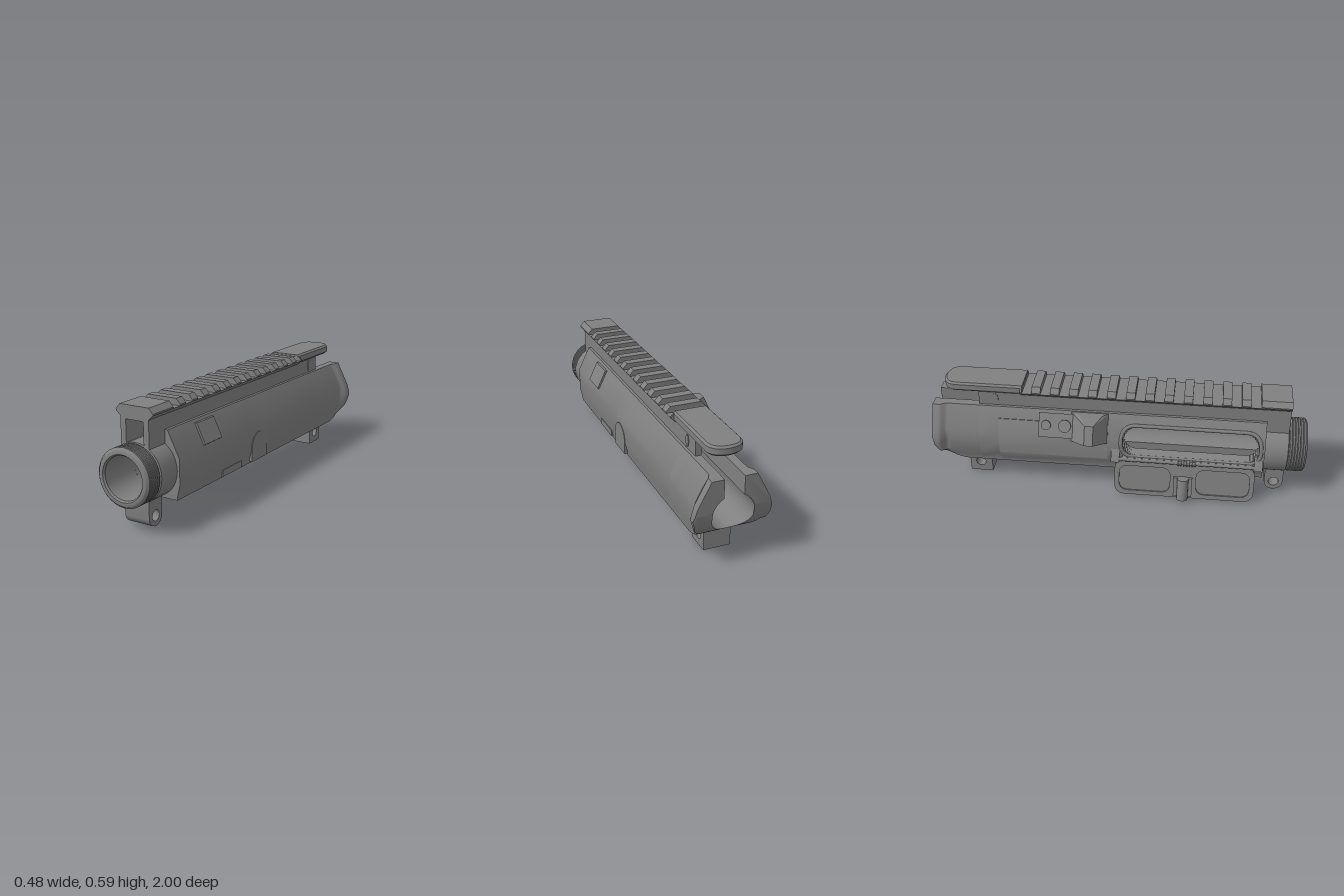
import * as THREE from 'three';
import { toCreasedNormals } from 'three/addons/utils/BufferGeometryUtils.js';
import { ConvexGeometry } from 'three/addons/geometries/ConvexGeometry.js';

const CX = 0.04, CY = 0.27, BORE = 0.107;
const mat = new THREE.MeshStandardMaterial({ color: 0x808080, side: THREE.DoubleSide });

function add(parent, name, geo, crease = 0.6) {
  const mesh = new THREE.Mesh(toCreasedNormals(geo, crease), mat);
  mesh.name = name;
  parent.add(mesh);
  return mesh;
}
const shapeOf = pts => new THREE.Shape(pts.map(p => new THREE.Vector2(p[0], p[1])));
const mirrored = pts => [...pts, ...pts.slice().reverse().map(([u, y]) => [-u, y])];

// Extrude an x-y profile (x measured from the bore axis) between two z positions
function alongZ(pts, z0, z1, steps = 1) {
  const g = new THREE.ExtrudeGeometry(shapeOf(pts), { depth: z1 - z0, steps, bevelEnabled: false });
  return g.translate(CX, 0, z0);
}
// Extrude a z-y shape from x0 to x1
function alongX(shape, x0, x1) {
  const g = new THREE.ExtrudeGeometry(shape, { depth: x1 - x0, bevelEnabled: false, curveSegments: 10 });
  return g.rotateY(-Math.PI / 2).translate(x1, 0, 0);
}
function roundRect(z0, y0, z1, y1, r, Type = THREE.Shape) {
  const s = new Type();
  s.moveTo(z0 + r, y0);
  s.lineTo(z1 - r, y0); s.quadraticCurveTo(z1, y0, z1, y0 + r);
  s.lineTo(z1, y1 - r); s.quadraticCurveTo(z1, y1, z1 - r, y1);
  s.lineTo(z0 + r, y1); s.quadraticCurveTo(z0, y1, z0, y1 - r);
  s.lineTo(z0, y0 + r); s.quadraticCurveTo(z0, y0, z0 + r, y0);
  return s;
}
// Points of the bore wall between two heights, on the +u side
function boreArc(yFrom, yTo) {
  const ang = y => Math.asin(THREE.MathUtils.clamp((y - CY) / BORE, -1, 1));
  const a = ang(yFrom), b = ang(yTo), n = 12;
  return Array.from({ length: n + 1 }, (_, i) => {
    const t = a + (b - a) * i / n;
    return [BORE * Math.cos(t), CY + BORE * Math.sin(t)];
  });
}

const SLOT_Y = CY - 0.0946, CHANNEL_Y = CY + 0.0946;
const outerX = y => y > 0.33 ? 0.16 - (y - 0.33) * 0.5 : 0.16;

// Half section of the receiver, optionally split by the side port
function halfSection({ slot, neck, port }, side) {
  const base = side > 0 ? 0.145 : 0.127;
  const low = [[slot ? 0.05 : 0, 0.125], [base, 0.125], [base + 0.002, 0.15], [0.16, 0.2]];
  const top = neck
    ? [[0.095, 0.46], [0.08, 0.46], [0.08, 0.54], [0, 0.54], [0, 0.52], [0.05, 0.52]]
    : [[0.095, 0.46], [0.05, 0.46]];
  const arcEnd = slot ? SLOT_Y : CY - BORE;
  let polys;
  if (port && side < 0) {
    const [yl, yu] = port;
    polys = [
      [...low, [0.16, yl], ...boreArc(yl + 0.01, arcEnd)],
      [[outerX(yu), yu], ...top, ...boreArc(CHANNEL_Y, Math.min(yu, 0.355))],
    ];
  } else polys = [[...low, [0.16, 0.27], [0.16, 0.33], ...top, ...boreArc(CHANNEL_Y, arcEnd)]];
  return polys.map(p => p.map(([u, y]) => [u * side, y]));
}

function buildReceiver(root) {
  const body = new THREE.Group();
  body.name = 'receiverBody';
  const slices = [
    [0.75, 0.78, { neck: 1 }],
    [0.1, 0.68, { neck: 1, slot: 1, port: [0.24, 0.4] }],
    [-0.64, 0.03, { neck: 1, slot: 1 }],
    [-0.75, -0.64, { neck: 1 }],
  ];
  // Thin slices give the port its rounded ends
  const n = 8, r = 0.07;
  for (let i = 0; i < n; i++) {
    const h = 0.08 * Math.sqrt(1 - (1 - (i + 0.5) / n) ** 2);
    const opt = { neck: 1, slot: 1, port: [0.32 - h, 0.32 + h] };
    const a = r * i / n, b = r * (i + 1) / n;
    slices.push([0.03 + a, 0.03 + b, opt], [0.75 - b, 0.75 - a, opt]);
  }
  for (const side of [1, -1]) {
    for (const [z0, z1, opt] of slices)
      for (const p of halfSection(opt, side)) add(body, 'bodySection', alongZ(p, z0, z1));
    // Rear trough: flared at the end, the lower corner swept up and cut open to the bore
    const g = alongZ(halfSection({}, side)[0], -1, -0.75, 30);
    const pos = g.attributes.position;
    for (let i = 0; i < pos.count; i++) {
      let u = Math.abs(pos.getX(i) - CX), y = pos.getY(i);
      const z = pos.getZ(i);
      const t = THREE.MathUtils.clamp((-0.82 - z) / 0.18, 0, 1);
      const flare = THREE.MathUtils.smoothstep(-z, 0.925, 0.965);
      const outer = u > 0.06 && Math.hypot(u, y - CY) > 0.125;
      y = Math.max(y, 0.125 + 0.17 * (1 - Math.sqrt(1 - t * t)));
      if (outer) u += flare * (0.018 + 0.02 * Math.max(0, 1 - Math.abs(y - CY) / 0.07));
      if (y < 0.3) u = Math.max(u, Math.sqrt(Math.max(0, BORE ** 2 - (y - CY) ** 2)));
      pos.setXY(i, CX + side * u, y);
    }
    add(body, 'rearTrough', g);
  }
  root.add(body);
}

function buildRail(root) {
  const rail = new THREE.Group();
  rail.name = 'topRail';
  add(rail, 'railFrontArch', alongZ([[0.05, 0.37], [0.08, 0.37], [0.08, 0.54], [-0.08, 0.54],
    [-0.08, 0.37], [-0.05, 0.37], [-0.05, 0.52], [0.05, 0.52]], 0.78, 0.9));
  add(rail, 'railBase', alongZ(mirrored([[0.08, 0.532], [0.105, 0.555]]), -0.52, 0.9));
  // Teeth between thirteen evenly spaced cross slots
  let front = 0.9;
  for (let i = 0; i <= 13; i++) {
    const back = i < 13 ? 0.742 - 0.1 * i : -0.52;
    add(rail, 'railTooth', alongZ(mirrored([[0.105, 0.555], [0.105, 0.562], [0.082, 0.588]]), back, front));
    front = back - 0.053;
  }
  // Rounded rear overhang
  const s = new THREE.Shape();
  s.moveTo(-0.08, 0.52); s.lineTo(0.08, 0.52); s.lineTo(0.08, 0.87);
  s.quadraticCurveTo(0.075, 0.93, 0, 0.932);
  s.quadraticCurveTo(-0.075, 0.93, -0.08, 0.87);
  const g = new THREE.ExtrudeGeometry(s, { depth: 0.03, bevelThickness: 0.01, bevelSize: 0.01, bevelSegments: 1 });
  add(rail, 'railRearOverhang', g.rotateX(-Math.PI / 2).translate(CX, 0.548, 0));
  root.add(rail);
}

function buildFront(root) {
  // Neck ring and grooved collar around the bore
  const pts = [[BORE, 0.77], [0.147, 0.77], [0.147, 0.9], [0.138, 0.905]];
  for (let i = 0; i < 6; i++) {
    const z = 0.91 + i * 0.014;
    pts.push([0.145, z], [0.145, z + 0.008], [0.14, z + 0.011]);
  }
  pts.push([0.136, 0.997], [0.13, 1], [0.114, 1], [BORE, 0.99], [BORE, 0.77]);
  const g = new THREE.LatheGeometry(pts.map(p => new THREE.Vector2(...p)), 32);
  add(root, 'frontCollar', g.rotateX(Math.PI / 2).translate(CX, CY, 0));
}

function buildLugs(root) {
  const hole = z => new THREE.Path().absarc(z, 0.06, 0.027, 0, Math.PI * 2, true);
  const front = new THREE.Shape();
  front.moveTo(0.9, 0.15); front.lineTo(0.8, 0.15); front.lineTo(0.8, 0.058);
  front.absarc(0.85, 0.058, 0.05, Math.PI, Math.PI * 2, false);
  front.holes.push(hole(0.85));
  add(root, 'frontLug', alongX(front, -0.03, 0.11));
  const rear = shapeOf([[-0.84, 0], [-0.716, 0], [-0.716, 0.14], [-0.84, 0.14]]);
  rear.holes.push(hole(-0.78));
  add(root, 'rearLug', alongX(rear, -0.03, 0.11));
}

function buildDoor(root) {
  // Raised lip around the port, following the bend of the wall
  const lip = roundRect(0.02, 0.232, 0.76, 0.408, 0.08).getSpacedPoints(60)
    .slice(0, -1).map(p => new THREE.Vector3(CX - outerX(p.y), p.y, p.x));
  add(root, 'portLip', new THREE.TubeGeometry(new THREE.CatmullRomCurve3(lip, true), 90, 0.011, 6, true), 1.2);

  // Hinge ledge, rod and spring below the side port
  add(root, 'hingeLedge', alongZ([[-0.15, 0.2], [-0.165, 0.2], [-0.176, 0.235], [-0.15, 0.24]], 0.03, 0.75));
  for (const z of [-0.01, 0.75])
    add(root, 'hingeLug', alongZ([[-0.14, 0.195], [-0.195, 0.213], [-0.182, 0.245], [-0.15, 0.29]], z - 0.02, z + 0.025));
  add(root, 'hingeRod', new THREE.CylinderGeometry(0.011, 0.011, 0.8, 12)
    .rotateX(Math.PI / 2).translate(-0.135, 0.223, 0.375));
  for (let i = 0; i < 7; i++)
    add(root, 'hingeSpring', new THREE.TorusGeometry(0.013, 0.005, 6, 12).translate(-0.135, 0.223, 0.33 + i * 0.015));

  // Open door hanging from the hinge
  const door = new THREE.Group();
  door.name = 'portDoor';
  const frame = roundRect(-0.01, -0.2, 0.74, 0.01, 0.06);
  for (const [a, b] of [[0.015, 0.29], [0.43, 0.715]])
    frame.holes.push(roundRect(a, -0.175, b, -0.025, 0.05, THREE.Path));
  add(door, 'doorFrame', alongX(frame, -0.012, 0.008));
  add(door, 'doorPanel', alongX(roundRect(-0.005, -0.195, 0.735, 0.005, 0.06), -0.004, 0.003));
  add(door, 'doorLatch', new THREE.CylinderGeometry(0.03, 0.03, 0.122, 16).translate(-0.036, -0.131, 0.36));
  add(door, 'latchBase', new THREE.BoxGeometry(0.03, 0.11, 0.1).translate(-0.012, -0.128, 0.36));
  door.position.set(-0.12, 0.205, 0);
  door.rotation.z = -0.165;
  root.add(door);
}

function buildSideDetails(root) {
  const hull = (name, pts) => add(root, name, new ConvexGeometry(pts.map(p => new THREE.Vector3(...p))), 0.3);
  // Wedge behind the port
  hull('deflector', [
    [-0.238, 0.37, -0.16], [-0.238, 0.37, -0.115], [-0.195, 0.465, -0.16], [-0.195, 0.465, -0.115],
    [-0.125, 0.315, -0.25], [-0.125, 0.315, -0.05], [-0.055, 0.455, -0.25], [-0.055, 0.455, -0.05],
    [-0.1, 0.467, -0.2], [-0.1, 0.467, -0.08]]);
  hull('deflectorPlate', [-0.42, -0.2].flatMap(z => [
    [-0.135, 0.335, z], [-0.075, 0.452, z], [-0.11, 0.33, z], [-0.06, 0.44, z]]));
  for (const [z, r] of [[-0.28, 0.034], [-0.38, 0.026]]) {
    const screw = add(root, 'plateScrew', new THREE.CylinderGeometry(r, r, 0.03, 16));
    screw.position.set(-0.102, 0.392, z);
    screw.rotation.z = 1.107;
  }
  // Raised panel on the right rear
  add(root, 'sidePanel', alongZ([[-0.15, 0.2], [-0.166, 0.21], [-0.166, 0.33], [-0.13, 0.405], [-0.115, 0.4],
    [-0.15, 0.32]], -0.64, -0.05));
  // Shallow bosses on the left
  const arch = new THREE.Shape();
  arch.moveTo(0.13, 0.135); arch.lineTo(0.13, 0.21);
  arch.absarc(0.055, 0.21, 0.075, 0, Math.PI, false);
  arch.lineTo(-0.02, 0.135);
  add(root, 'archBoss', alongX(arch, 0.16, 0.203));
  add(root, 'lowerBoss', new THREE.BoxGeometry(0.025, 0.035, 0.18).translate(0.181, 0.148, 0.31));
  hull('shoulderBoss', [0.42, 0.57].flatMap(z => [[0.195, 0.34, z], [0.203, 0.345, z],
    [0.155, 0.445, z], [0.14, 0.445, z]]));
  // Cross pin ends under the rear of the rail, clear of the channel
  for (const side of [1, -1])
    add(root, 'crossPinEnd', new THREE.CylinderGeometry(0.016, 0.016, 0.014, 12)
      .rotateZ(Math.PI / 2).scale(1, 2, 1).translate(CX + side * 0.076, 0.5, -0.66));
}

export function createModel() {
  const root = new THREE.Group();
  root.name = 'receiver';
  buildReceiver(root);
  buildRail(root);
  buildFront(root);
  buildLugs(root);
  buildDoor(root);
  buildSideDetails(root);
  return root;
}
